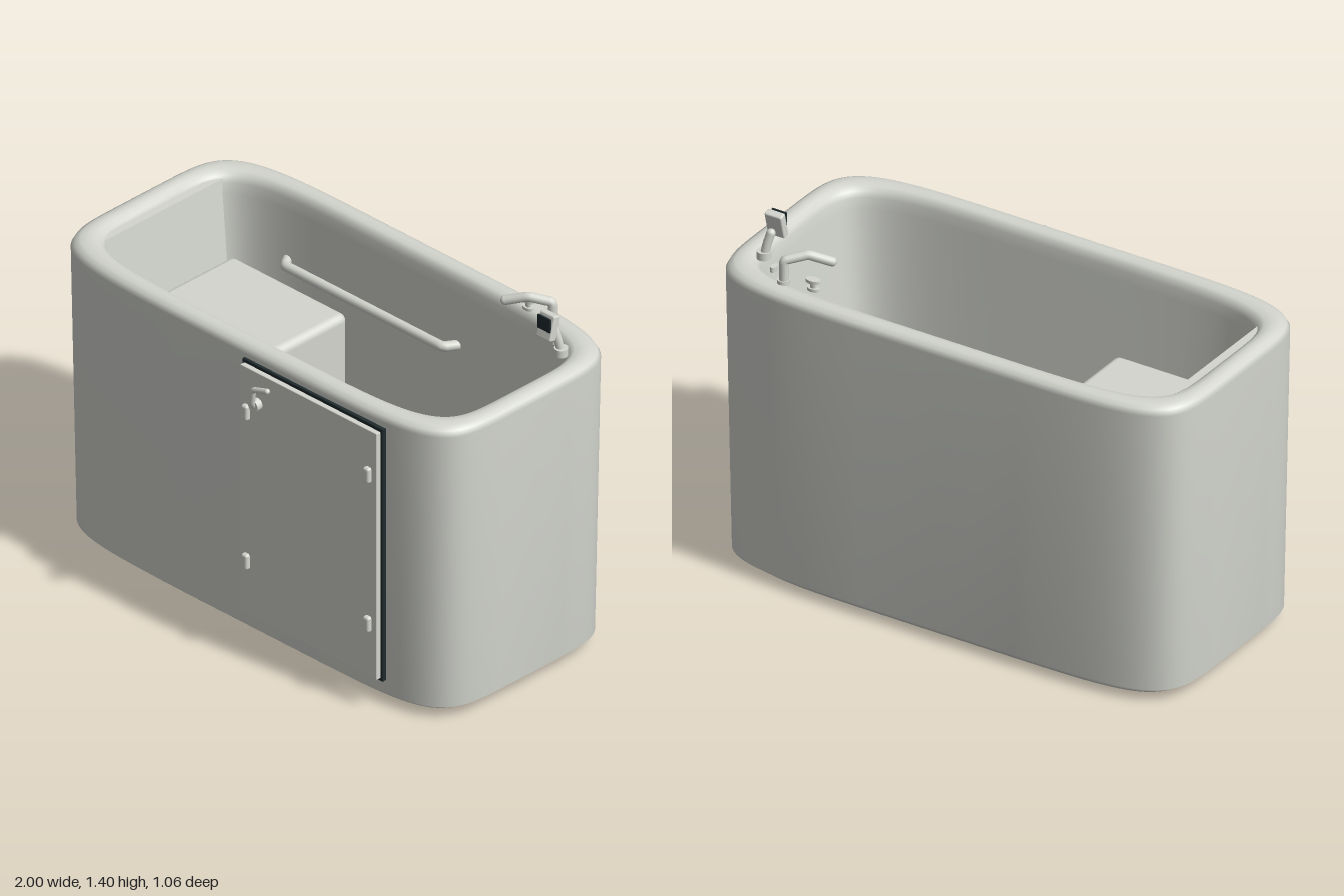
import * as THREE from 'three';
import { RoundedBoxGeometry } from 'three/addons/geometries/RoundedBoxGeometry.js';

const paint = (name, hex) => Object.assign(new THREE.MeshStandardMaterial({ color: hex }), { name });
const TUB_Z = -0.043, FLOOR = 0.155;

// Loft of superellipse rings [halfX, halfZ, y, exponent], closed at both ends
function loft(rings, segs = 160) {
  const pos = [], idx = [];
  for (const [a, b, y, n] of rings)
    for (let i = 0; i < segs; i++) {
      const t = (i / segs) * Math.PI * 2, c = Math.cos(t), s = Math.sin(t);
      pos.push(a * Math.sign(c) * Math.abs(c) ** (2 / n), y, TUB_Z + b * Math.sign(s) * Math.abs(s) ** (2 / n));
    }
  for (let r = 0; r < rings.length - 1; r++)
    for (let i = 0; i < segs; i++) {
      const j = (i + 1) % segs, p = r * segs + i, q = r * segs + j;
      idx.push(p, p + segs, q, q, p + segs, q + segs);
    }
  const first = pos.length / 3, last = (rings.length - 1) * segs;
  pos.push(0, rings[0][2], TUB_Z, 0, rings[rings.length - 1][2], TUB_Z);
  for (let i = 0; i < segs; i++) {
    const j = (i + 1) % segs;
    idx.push(first, i, j, first + 1, last + j, last + i);
  }
  const g = new THREE.BufferGeometry();
  g.setAttribute('position', new THREE.Float32BufferAttribute(pos, 3));
  g.setIndex(idx);
  g.computeVertexNormals();
  return g;
}

export function createModel() {
  const model = new THREE.Group();
  model.name = 'walkInTub';
  const shell = paint('warm white acrylic', 0xd4d6cf);
  const dark = paint('dark rubber', 0x1f2b2d);

  const add = (name, geo, mat, x = 0, y = 0, z = 0, parent = model) => {
    const m = new THREE.Mesh(geo, mat);
    m.name = name;
    m.position.set(x, y, z);
    parent.add(m);
    return m;
  };
  const box = (name, mat, w, h, d, x, y, z, r = 0, parent = model) =>
    add(name, r ? new RoundedBoxGeometry(w, h, d, 3, r) : new THREE.BoxGeometry(w, h, d), mat, x, y, z, parent);
  const disc = (name, mat, r, h, x, y, z, parent = model) =>
    add(name, new THREE.CylinderGeometry(r, r, h, 28), mat, x, y, z, parent);
  // Round bar through points, with slightly softened bends and capped ends
  const bar = (name, pts, r, parent = model) => {
    const v = pts.map(p => new THREE.Vector3(...p)), path = new THREE.CurvePath();
    let from = v[0];
    for (let i = 1; i < v.length - 1; i++) {
      const a = v[i].clone().lerp(v[i - 1], 0.012 / v[i].distanceTo(v[i - 1]));
      const b = v[i].clone().lerp(v[i + 1], 0.012 / v[i].distanceTo(v[i + 1]));
      path.add(new THREE.LineCurve3(from, a));
      path.add(new THREE.QuadraticBezierCurve3(a, v[i], b));
      from = b;
    }
    path.add(new THREE.LineCurve3(from, v[v.length - 1]));
    add(name, new THREE.TubeGeometry(path, 64, r, 14), shell, 0, 0, 0, parent);
    for (const e of [v[0], v[v.length - 1]])
      add(name + 'End', new THREE.SphereGeometry(r, 14, 10), shell, e.x, e.y, e.z, parent);
  };

  // Shell: underside, outer wall, rolled rim, inner wall and floor
  add('tubShell', loft([
    [0.915, 0.42, 0, 6], [0.98, 0.474, 0.048, 6], [1, 0.488, 1.19, 6], [0.99, 0.478, 1.211, 6],
    [0.972, 0.46, 1.222, 6], [0.95, 0.438, 1.225, 5.8], [0.928, 0.416, 1.221, 5.6],
    [0.911, 0.403, 1.208, 5.5], [0.903, 0.396, 1.185, 5.5], [0.898, 0.392, 1.14, 5.5],
    [0.82, 0.335, 0.27, 5.5], [0.805, 0.322, 0.21, 5.5], [0.78, 0.3, 0.172, 5.2],
    [0.74, 0.265, FLOOR, 5], [0.6, 0.2, FLOOR, 5],
  ]), shell);

  // Seat and its sloping backrest
  box('seat', shell, 0.585, 0.73, 0.645, -0.5475, 0.523, TUB_Z, 0.03);
  const side = new THREE.Shape([[-0.9, 0.86], [-0.832, 0.86], [-0.868, 1.2], [-0.9, 1.2]].map(p => new THREE.Vector2(...p)));
  add('backrest', new THREE.ExtrudeGeometry(side, { depth: 0.62, bevelEnabled: false }), shell, 0, 0, TUB_Z - 0.31);

  // Floor grip ribs and drain
  for (let i = 0; i < 12; i++)
    box('gripRib', shell, 0.01, 0.012, 0.45, -0.1 + i * 0.0614, FLOOR + 0.004, TUB_Z);
  disc('drainRing', shell, 0.046, 0.018, 0.457, FLOOR + 0.006, -0.06);
  disc('drainPlug', dark, 0.04, 0.008, 0.457, FLOOR + 0.016, -0.06);

  // Water jets on both long walls
  for (const [x, s] of [[0.18, 1], [0.45, 1], [0.72, 1], [0.45, -1], [0.72, -1]])
    disc('waterJet', shell, 0.02, 0.016, x, 0.38, TUB_Z + s * (x > 0.7 ? 0.33 : 0.338)).rotation.x = s * Math.PI / 2;

  // Grab bar on the back wall
  bar('grabBar', [[-0.62, 0.94, -0.425], [-0.59, 0.94, -0.378], [0.205, 0.94, -0.378], [0.235, 0.94, -0.425]], 0.019);

  // Door with dark seal, hinge blocks and lever
  const door = new THREE.Group();
  door.name = 'door';
  model.add(door);
  box('doorSeal', dark, 0.707, 1.055, 0.016, 0.3765, 0.648, 0.449, 0, door);
  box('doorPanel', shell, 0.687, 1.033, 0.022, 0.3765, 0.648, 0.468, 0.003, door);
  for (const x of [0.067, 0.68])
    for (const y of [0.355, 0.98])
      box('hingeBlock', shell, 0.031, 0.064, 0.026, x, y, 0.484, 0.01, door);
  disc('leverRosette', shell, 0.024, 0.03, 0.122, 1.037, 0.49, door).rotation.x = Math.PI / 2;
  bar('lever', [[0.122, 1.037, 0.5], [0.125, 1.05, 0.511], [0.137, 1.118, 0.518], [0.209, 1.142, 0.52]], 0.011, door);

  // Spout
  const spout = new THREE.Group();
  spout.name = 'spout';
  model.add(spout);
  disc('spoutFlange', shell, 0.023, 0.016, 0.705, 1.229, -0.435, spout);
  bar('spoutPipe', [[0.703, 1.21, -0.435], [0.703, 1.316, -0.435], [0.635, 1.334, -0.38], [0.562, 1.307, -0.336]], 0.018, spout);

  // Tap knob, flattened front to back
  for (const [name, r, h, y] of [['knobBase', 0.025, 0.012, 1.238], ['knobStem', 0.013, 0.04, 1.252], ['knobTop', 0.03, 0.012, 1.272]])
    disc(name, shell, r, h, 0.577, y, -0.437).scale.z = 0.6;

  // Small diverter on the rim
  disc('diverter', shell, 0.012, 0.02, 0.79, 1.222, -0.365).scale.z = 1.6;

  // Hand shower: base, handle, backward-leaning head with upright dark face
  const shower = new THREE.Group();
  shower.name = 'handShower';
  model.add(shower);
  disc('showerBase', shell, 0.027, 0.03, 0.866, 1.232, -0.315, shower);
  bar('showerHandle', [[0.862, 1.235, -0.316], [0.856, 1.275, -0.31], [0.846, 1.318, -0.3]], 0.017, shower);
  box('showerHead', shell, 0.072, 0.1, 0.032, 0.84, 1.346, -0.273, 0.006, shower).rotation.x = -0.25;
  box('showerFace', dark, 0.062, 0.056, 0.007, 0.84, 1.363, -0.254, 0, shower);
  return model;
}
